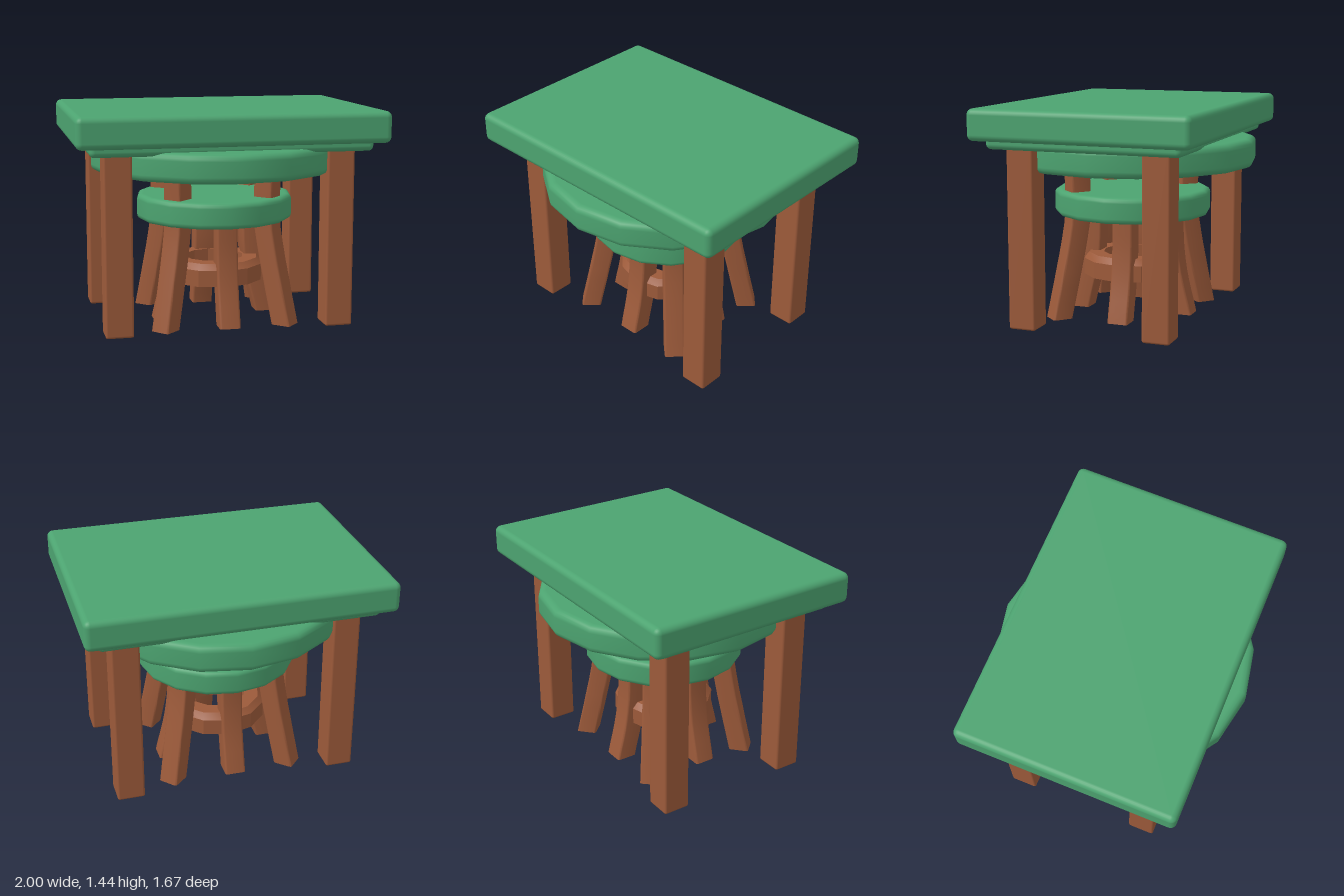
import * as THREE from 'three';
import { toCreasedNormals } from 'three/addons/utils/BufferGeometryUtils.js';
import { RoundedBoxGeometry } from 'three/addons/geometries/RoundedBoxGeometry.js';

const green = new THREE.MeshStandardMaterial({ color: 0x4ca370 });
green.name = 'green paint';
const brown = new THREE.MeshStandardMaterial({ color: 0x9c5a3a });
brown.name = 'brown wood';

function add(parent, name, geometry, material, x = 0, y = 0, z = 0) {
  const mesh = new THREE.Mesh(geometry, material);
  mesh.name = name;
  mesh.position.set(x, y, z);
  parent.add(mesh);
  return mesh;
}

// Box with softened edges between two heights
function slab(w, y0, y1, d, r) {
  return new RoundedBoxGeometry(w, y1 - y0, d, 3, r).translate(0, (y0 + y1) / 2, 0);
}

// Sixteen-sided disc with a rounded rim
function disc(R, y0, y1, r, dome = 0) {
  const pts = [new THREE.Vector2(0, y0), new THREE.Vector2(R - r - 0.01, y0)];
  for (let i = 0; i <= 4; i++) {
    const a = (i / 4) * Math.PI / 2;
    pts.push(new THREE.Vector2(R - r + r * Math.sin(a), y0 + r - r * Math.cos(a)));
  }
  for (let i = 0; i <= 4; i++) {
    const a = (i / 4) * Math.PI / 2;
    pts.push(new THREE.Vector2(R - r + r * Math.cos(a), y1 - r + r * Math.sin(a)));
  }
  pts.push(new THREE.Vector2(R - r - 0.01, y1), new THREE.Vector2(0, y1 + dome));
  return new THREE.LatheGeometry(pts, 16);
}

// Square post with softened edges, bent outward (+z) along [height, radius] points
function bentLeg(size, path) {
  const h = size / 2, c = 0.015;
  const s = new THREE.Shape();
  s.moveTo(-h + c, -h);
  s.lineTo(h - c, -h);
  s.quadraticCurveTo(h, -h, h, -h + c);
  s.lineTo(h, h - c);
  s.quadraticCurveTo(h, h, h - c, h);
  s.lineTo(-h + c, h);
  s.quadraticCurveTo(-h, h, -h, h - c);
  s.lineTo(-h, -h + c);
  s.quadraticCurveTo(-h, -h, -h + c, -h);
  const steps = 10, height = path[path.length - 1][0];
  const geo = new THREE.ExtrudeGeometry(s, { depth: height, steps, bevelEnabled: false, curveSegments: 3 });
  geo.rotateX(-Math.PI / 2);
  const curve = new THREE.CatmullRomCurve3(path.map(([y, r]) => new THREE.Vector3(0, y, r)));
  const radii = curve.getPoints(80);
  const p = geo.attributes.position;
  for (let i = 0; i < p.count; i++) {
    const y = p.getY(i);
    const near = radii.reduce((a, b) => (Math.abs(b.y - y) < Math.abs(a.y - y) ? b : a));
    p.setZ(i, p.getZ(i) + near.z);
  }
  return toCreasedNormals(geo, 0.7);
}

export function createModel() {
  const model = new THREE.Group();
  model.name = 'nestedTables';

  // Rectangular table
  const table = new THREE.Group();
  table.name = 'rectangularTable';
  model.add(table);
  add(table, 'tableTop', slab(2, 1.237, 1.44, 1.46, 0.04), green);
  add(table, 'apron', slab(1.82, 1.18, 1.29, 1.29, 0.035), green);
  const post = slab(0.182, 0.012, 1.22, 0.182, 0.015);
  for (const sx of [-1, 1])
    for (const sz of [-1, 1]) add(table, 'tableLeg', post, brown, sx * 0.725, 0, sz * 0.453);

  // Round table, its legs passing through the stool seat
  const round = new THREE.Group();
  round.name = 'roundTable';
  model.add(round);
  add(round, 'roundTop', disc(0.833, 1.018, 1.205, 0.045), green);
  const roundLeg = bentLeg(0.135, [[0, 0.55], [0.35, 0.472], [0.68, 0.412], [1.06, 0.415]]);
  const angle = Math.atan2(0.405, 0.375);
  for (const a of [angle, -angle, Math.PI - angle, Math.PI + angle])
    add(round, 'roundTableLeg', roundLeg, brown).rotation.y = a;

  // Stool
  const stool = new THREE.Group();
  stool.name = 'stool';
  model.add(stool);
  add(stool, 'stoolSeat', disc(0.528, 0.68, 0.852, 0.035, 0.006), green);
  const stoolLeg = bentLeg(0.14, [[0.005, 0.365], [0.22, 0.31], [0.45, 0.275], [0.72, 0.268]]);
  for (let i = 0; i < 4; i++) {
    const pivot = new THREE.Group();
    pivot.name = 'stoolLegPivot';
    pivot.rotation.y = i * Math.PI / 2;
    stool.add(pivot);
    add(pivot, 'stoolLeg', stoolLeg, brown, i % 2 ? 0.05 : 0.02);
  }

  // Faceted ring bracing the stool legs
  const ringProfile = [[0.2, 0.26], [0.335, 0.26], [0.335, 0.37], [0.3, 0.41], [0.2, 0.41], [0.2, 0.26]]
    .map(([x, y]) => new THREE.Vector2(x, y));
  add(stool, 'braceRing', toCreasedNormals(new THREE.LatheGeometry(ringProfile, 12), 0.4), brown);

  return model;
}
